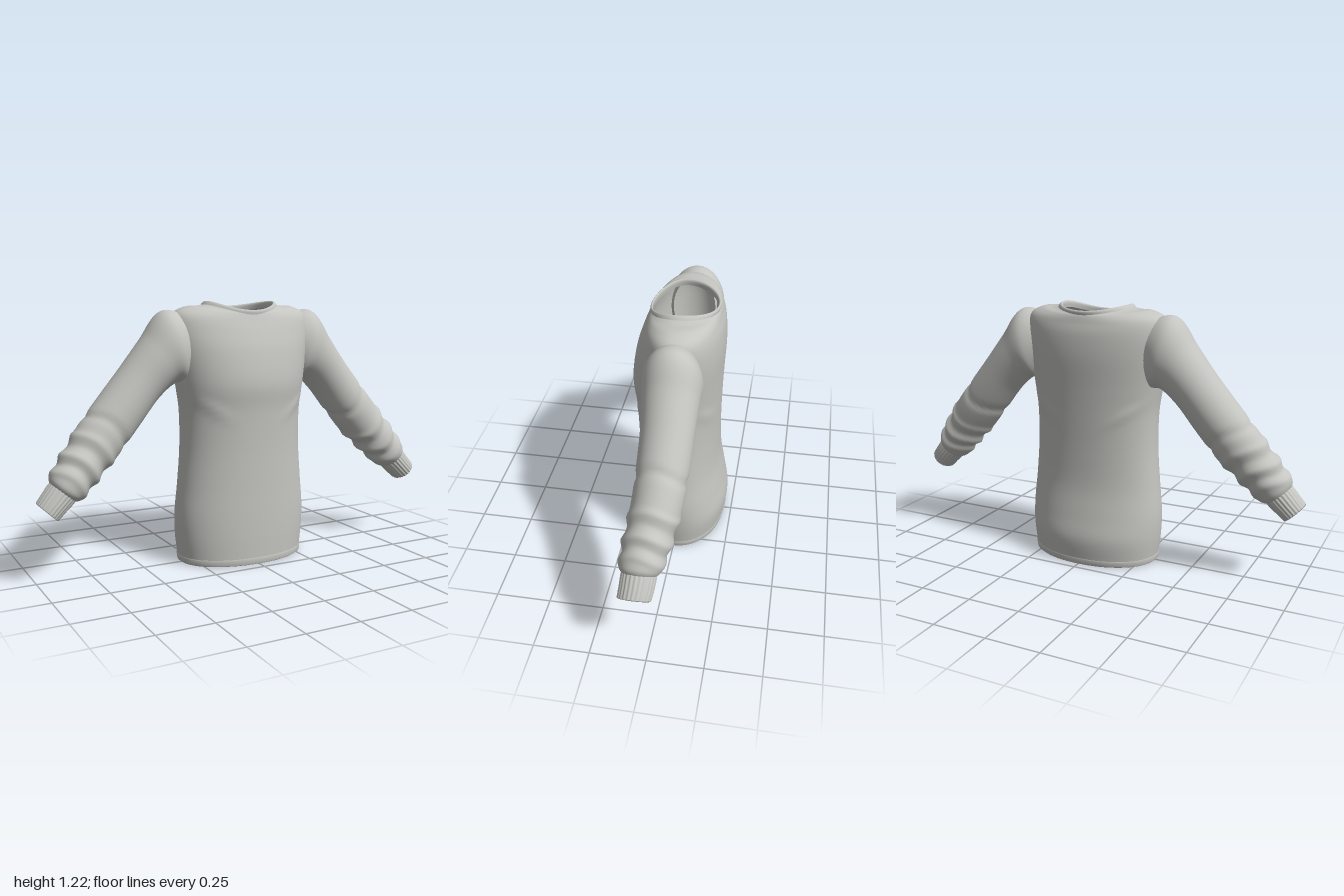
import * as THREE from 'three';

const cloth = new THREE.MeshStandardMaterial({ color: 0xc4c4c0, side: THREE.DoubleSide });
cloth.name = 'light grey knit';

// Catmull-Rom interpolation of section rows, n steps per span
function smoothRows(rows, n) {
  const out = [];
  const at = (i) => rows[Math.max(0, Math.min(rows.length - 1, i))];
  for (let i = 0; i < rows.length - 1; i++) {
    for (let k = 0; k < n; k++) {
      const t = k / n;
      out.push(rows[i].map((b, c) => {
        const a = at(i - 1)[c], d = at(i + 1)[c], e = at(i + 2)[c];
        return b + 0.5 * t * (d - a + t * (2 * a - 5 * b + 4 * d - e + t * (3 * (b - d) + e - a)));
      }));
    }
  }
  out.push(rows[rows.length - 1]);
  return out;
}

// Skin closed sections: point(row, angle) gives [x, y, z]
function loft(name, rows, segs, point, flip = false) {
  const pos = [], index = [];
  rows.forEach((row, j) => {
    for (let i = 0; i < segs; i++) {
      pos.push(...point(row, (i / segs) * Math.PI * 2));
      if (j === rows.length - 1) continue;
      const a = j * segs + i, b = j * segs + (i + 1) % segs, c = a + segs, d = b + segs;
      if (flip) index.push(a, b, c, b, d, c);
      else index.push(a, c, b, b, c, d);
    }
  });
  const geo = new THREE.BufferGeometry();
  geo.setAttribute('position', new THREE.Float32BufferAttribute(pos, 3));
  geo.setIndex(index);
  geo.computeVertexNormals();
  const mesh = new THREE.Mesh(geo, cloth);
  mesh.name = name;
  return mesh;
}

const bump = (v, centre, width) => Math.exp(-(((v - centre) / width) ** 2));

// Torso section: [side y, half width, front y, front z, back y, back z, squareness]
function torsoPoint([ys, w, yf, zf, yb, zb, e], a) {
  const c = Math.cos(a), s = Math.sin(a);
  const x = Math.sign(c) * w * Math.abs(c) ** (2 / e);
  let z = (s > 0 ? zf : -zb) * Math.abs(s) ** (2 / e);
  const y = (s > 0 ? yf : yb) * (1 - c * c) + ys * c * c;
  // slanting tension folds running in from the armpits
  const line = y - 0.68 - 0.6 * (Math.abs(x) - 0.12);
  z += Math.sign(s) * 0.007 * bump(line, 0, 0.022) * bump(Math.abs(x), 0.21, 0.07);
  return [x, y, z];
}

// Sleeve section: [centre x, y, z, half height, half depth, tilt]
const sleevePoint = (side, ribs) => ([cx, cy, cz, h, d, tilt], a) => {
  const r = 1 + (ribs ? 0.022 * Math.cos(24 * a) : 0);
  const k = h * r * Math.cos(a);
  return [side * (cx + Math.sin(tilt) * k), cy + Math.cos(tilt) * k, cz + d * r * Math.sin(a)];
};

function makeSleeve(side) {
  const group = new THREE.Group();
  group.name = side > 0 ? 'leftSleeve' : 'rightSleeve';
  const rows = smoothRows([
    [0.27, 1.02, -0.01, 0.14, 0.10, 0.1],
    [0.34, 1.01, -0.01, 0.174, 0.13, 0.3],
    [0.41, 0.955, -0.012, 0.13, 0.124, 0.6],
    [0.495, 0.865, -0.015, 0.112, 0.115, 0.8],
    [0.59, 0.75, -0.012, 0.112, 0.112, 0.85],
    [0.69, 0.63, -0.003, 0.112, 0.108, 0.88],
    [0.76, 0.55, 0.012, 0.103, 0.104, 0.88],
    [0.825, 0.475, 0.028, 0.094, 0.099, 0.88],
    [0.868, 0.424, 0.038, 0.085, 0.09, 0.88],
    [0.885, 0.403, 0.04, 0.062, 0.07, 0.88],
  ], 10);
  // gathered folds above the cuff, plus an elbow crease
  const folds = [[0.725, 0.012, 0.007], [0.79, 0.012, 0.009], [0.845, 0.012, 0.006],
    [0.757, 0.013, -0.006], [0.818, 0.01, -0.005], [side > 0 ? 0.62 : 0.66, 0.012, -0.007]];
  const base = sleevePoint(side, false);
  group.add(loft('sleeve', rows, 64, (row, a) => {
    const wander = row[0] + 0.012 * Math.sin(a * 2 + side);
    const add = folds.reduce((sum, [c, w, amp]) => sum + amp * bump(wander, c, w), 0);
    const r = row.slice();
    r[3] += add;
    r[4] += add;
    return base(r, a);
  }, side > 0));

  // ribbed cuff, turned in at the open end
  group.add(loft('cuff', [
    [0.872, 0.418, 0.04, 0.066, 0.073, 0.88],
    [0.89, 0.4, 0.041, 0.068, 0.075, 0.87],
    [0.925, 0.363, 0.045, 0.063, 0.073, 0.84],
    [0.953, 0.333, 0.05, 0.06, 0.071, 0.81],
    [0.956, 0.33, 0.05, 0.056, 0.067, 0.81],
    [0.952, 0.334, 0.05, 0.05, 0.061, 0.81],
    [0.89, 0.4, 0.041, 0.052, 0.06, 0.87],
  ], 144, sleevePoint(side, true), side > 0));
  return group;
}

export function createModel() {
  const model = new THREE.Group();
  model.name = 'sweater';

  // body from hem to neckline
  model.add(loft('torso', smoothRows([
    [0.03, 0.316, 0.03, 0.203, 0.03, 0.215, 2.1],
    [0.13, 0.327, 0.13, 0.205, 0.13, 0.225, 2.1],
    [0.24, 0.329, 0.24, 0.205, 0.24, 0.207, 2.1],
    [0.38, 0.316, 0.38, 0.204, 0.38, 0.185, 2.1],
    [0.55, 0.303, 0.55, 0.205, 0.55, 0.18, 2.1],
    [0.72, 0.304, 0.72, 0.212, 0.72, 0.183, 2.1],
    [0.85, 0.322, 0.85, 0.224, 0.85, 0.188, 2.1],
    [1.0, 0.345, 0.99, 0.203, 0.99, 0.195, 2.1],
    [1.1, 0.352, 1.08, 0.175, 1.09, 0.19, 2.1],
    [1.165, 0.335, 1.13, 0.155, 1.145, 0.177, 2.1],
    [1.196, 0.275, 1.152, 0.146, 1.17, 0.17, 2.05],
    [1.2, 0.215, 1.167, 0.14, 1.182, 0.164, 2],
    [1.208, 0.172, 1.172, 0.137, 1.188, 0.16, 2],
  ], 6), 96, torsoPoint));

  // hem band with a turned-in lower edge
  model.add(loft('hem', [
    [0.034, 0.314, 0.034, 0.201, 0.034, 0.213, 2.1],
    [0.028, 0.319, 0.028, 0.206, 0.028, 0.218, 2.1],
    [0.004, 0.316, 0.004, 0.204, 0.004, 0.213, 2.1],
    [0, 0.311, 0, 0.2, 0, 0.209, 2.1],
    [0.003, 0.304, 0.003, 0.193, 0.003, 0.202, 2.1],
    [0.035, 0.307, 0.035, 0.195, 0.035, 0.207, 2.1],
  ], 96, torsoPoint));

  // rolled neckband, high at the sides and dipping at the front
  model.add(loft('neckband', smoothRows([
    [1.198, 0.19, 1.158, 0.143, 1.178, 0.166, 2],
    [1.214, 0.178, 1.172, 0.144, 1.192, 0.168, 2],
    [1.221, 0.168, 1.18, 0.139, 1.198, 0.162, 2],
    [1.212, 0.161, 1.174, 0.133, 1.19, 0.155, 2],
    [1.19, 0.163, 1.15, 0.135, 1.165, 0.157, 2],
  ], 3), 96, torsoPoint));

  for (const side of [1, -1]) model.add(makeSleeve(side));
  return model;
}
